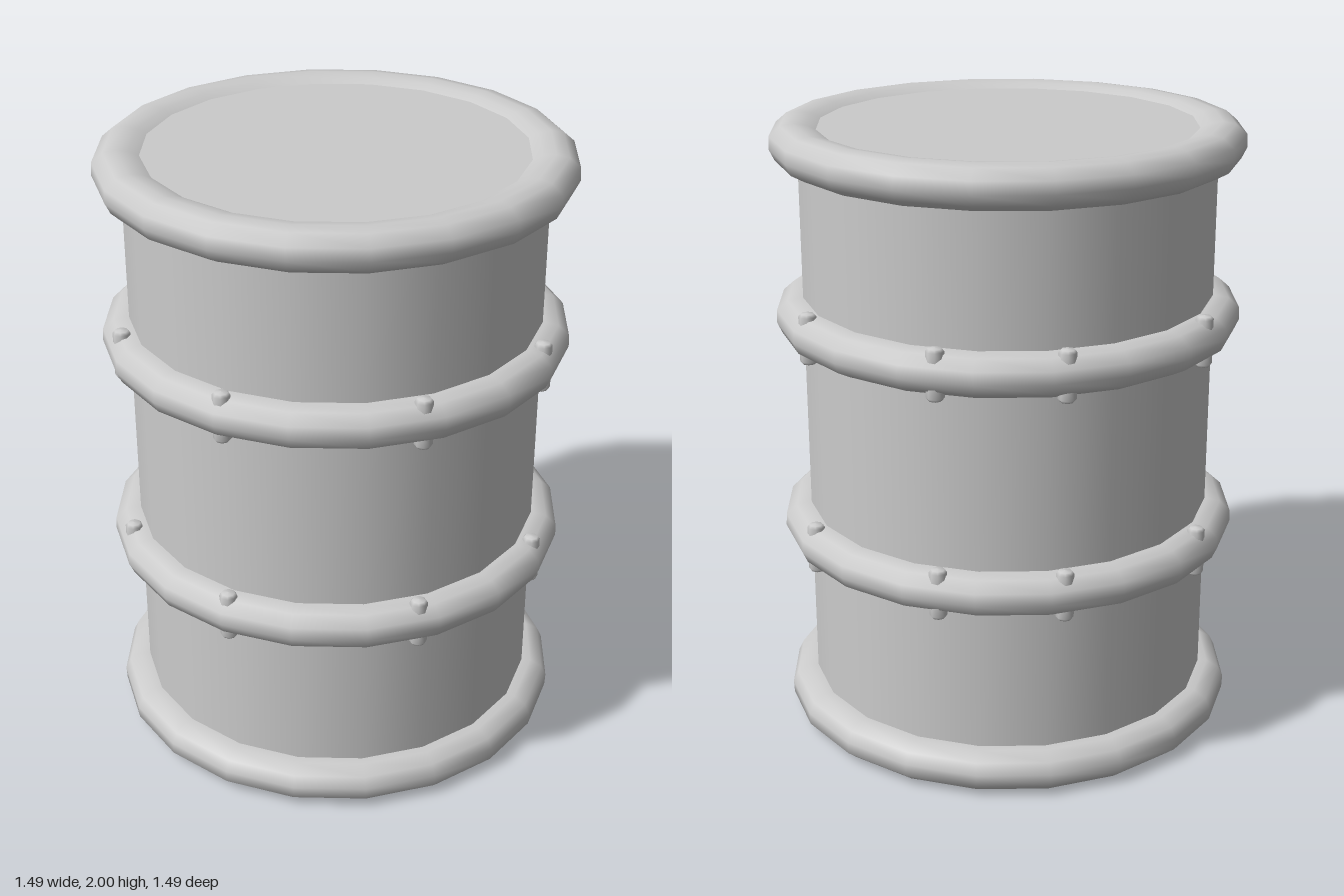
import * as THREE from 'three';

const SIDES = 20;
const material = new THREE.MeshStandardMaterial({ color: 0xcccccc });

function lathe(name, points, sides = SIDES) {
  const profile = points.map(([r, y]) => new THREE.Vector2(r, y));
  const mesh = new THREE.Mesh(new THREE.LatheGeometry(profile, sides), material);
  mesh.name = name;
  return mesh;
}

export function createModel() {
  const barrel = new THREE.Group();
  barrel.name = 'barrel';

  // Straight wall
  const wall = new THREE.Mesh(
    new THREE.CylinderGeometry(0.66, 0.66, 1.88, SIDES, 1, true), material);
  wall.name = 'wall';
  wall.position.y = 1;
  barrel.add(wall);

  // Rounded rim and slightly sunken lid, turned over for the bottom
  const rimProfile = [
    [0.64, -0.065], [0.69, -0.067], [0.73, -0.045], [0.747, -0.01], [0.745, 0.03],
    [0.71, 0.06], [0.67, 0.067], [0.63, 0.06], [0.6, 0.046],
  ];
  for (const top of [true, false]) {
    const end = new THREE.Group();
    end.name = top ? 'topEnd' : 'bottomEnd';
    end.add(lathe(top ? 'topRim' : 'bottomRim', rimProfile));
    const lid = new THREE.Mesh(new THREE.CircleGeometry(0.602, SIDES), material);
    lid.name = top ? 'topLid' : 'bottomLid';
    lid.rotation.x = -Math.PI / 2;
    lid.position.y = 0.046;
    end.add(lid);
    end.position.y = top ? 1.933 : 0.067;
    if (!top) end.rotation.x = Math.PI;
    barrel.add(end);
  }

  // Two hoops, each with unevenly spaced rivets above and below
  const hoopProfile = [
    [0.64, -0.067], [0.69, -0.066], [0.73, -0.045], [0.746, -0.01],
    [0.744, 0.03], [0.71, 0.06], [0.67, 0.067], [0.64, 0.067],
  ];
  const rivetProfile = [[0.028, -0.025], [0.028, 0.008], [0.021, 0.017], [0, 0.02]];
  const rivetAngles = [22, 72, 116, 148, 193, 244, 288, 338];
  for (const y of [0.673, 1.377]) {
    const hoop = new THREE.Group();
    hoop.name = 'hoop';
    hoop.add(lathe('hoopBand', hoopProfile));
    for (const side of [1, -1]) {
      for (const degrees of rivetAngles) {
        const a = THREE.MathUtils.degToRad(degrees);
        const rivet = lathe('rivet', rivetProfile, 8);
        rivet.position.set(0.697 * Math.sin(a), side * 0.063, 0.697 * Math.cos(a));
        if (side < 0) rivet.rotation.x = Math.PI;
        hoop.add(rivet);
      }
    }
    hoop.position.y = y;
    barrel.add(hoop);
  }

  return barrel;
}
